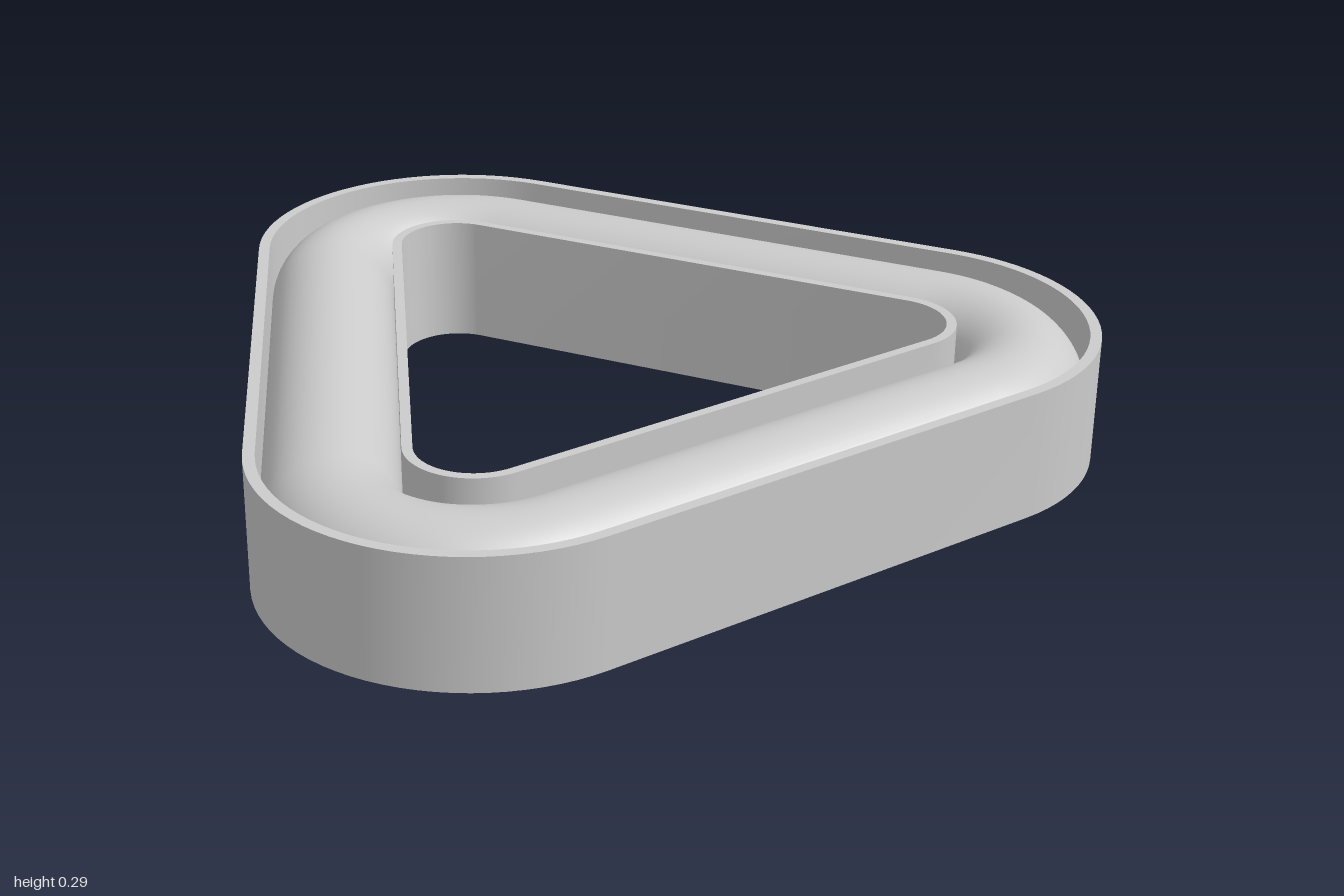
import * as THREE from 'three';
import { toCreasedNormals } from 'three/addons/utils/BufferGeometryUtils.js';

const HEIGHT = 0.29;
const CORNER_STEPS = 28;
// radii measured from the corner centres
const HOLE = 0.125, LIP_IN = 0.147, LIP_OUT = 0.435, OUTER = 0.46;

// Stations around the rounded triangle: corner centre plus outward direction
function makeStations() {
  const corners = [[0, 0.466], [0.54, -0.468], [-0.54, -0.468]];
  const stations = [];
  corners.forEach(([cx, cz], k) => {
    for (let i = 0; i <= CORNER_STEPS; i++) {
      const a = (k * 2 - 1) * Math.PI / 3 + (i / CORNER_STEPS) * Math.PI * 2 / 3;
      stations.push({ cx, cz, dx: Math.sin(a), dz: Math.cos(a) });
    }
  });
  return stations;
}

// Sweep a profile of [radius, y] points once around the triangle
function sweep(profile) {
  const stations = makeStations();
  const n = profile.length, m = stations.length;
  const positions = [], indices = [];
  for (const s of stations) {
    for (const [r, y] of profile) positions.push(s.cx + s.dx * r, y, s.cz + s.dz * r);
  }
  for (let i = 0; i < m; i++) {
    const p = i * n, q = ((i + 1) % m) * n;
    for (let j = 0; j < n - 1; j++) {
      indices.push(p + j, p + j + 1, q + j, q + j, p + j + 1, q + j + 1);
    }
  }
  const geometry = new THREE.BufferGeometry();
  geometry.setAttribute('position', new THREE.Float32BufferAttribute(positions, 3));
  geometry.setIndex(indices);
  return toCreasedNormals(geometry, 0.5);
}

export function createModel() {
  const group = new THREE.Group();
  const material = new THREE.MeshStandardMaterial({ color: 0xcccccc, side: THREE.DoubleSide });
  const add = (name, profile) => {
    const mesh = new THREE.Mesh(sweep(profile), material);
    mesh.name = name;
    group.add(mesh);
  };

  const recess = 0.015;
  const mid = (LIP_IN + LIP_OUT) / 2, radius = (LIP_OUT - LIP_IN) / 2;
  const tubeY = HEIGHT - radius;

  // thin walls around the hole and the outside
  add('innerBand', [[LIP_IN, recess], [LIP_IN, 0], [HOLE, 0], [HOLE, HEIGHT], [LIP_IN, HEIGHT], [LIP_IN, tubeY]]);
  add('outerBand', [[LIP_OUT, tubeY], [LIP_OUT, HEIGHT], [OUTER, HEIGHT], [OUTER, 0], [LIP_OUT, 0], [LIP_OUT, recess]]);

  // rounded ring lying between the two bands
  const arc = [];
  for (let i = 0; i <= 28; i++) {
    const t = Math.PI * (1 - i / 28);
    arc.push([mid + radius * Math.cos(t), tubeY + radius * Math.sin(t)]);
  }
  add('roundedTop', arc);

  // flat, slightly recessed underside
  add('underside', [[LIP_OUT, recess], [LIP_IN, recess]]);
  return group;
}
